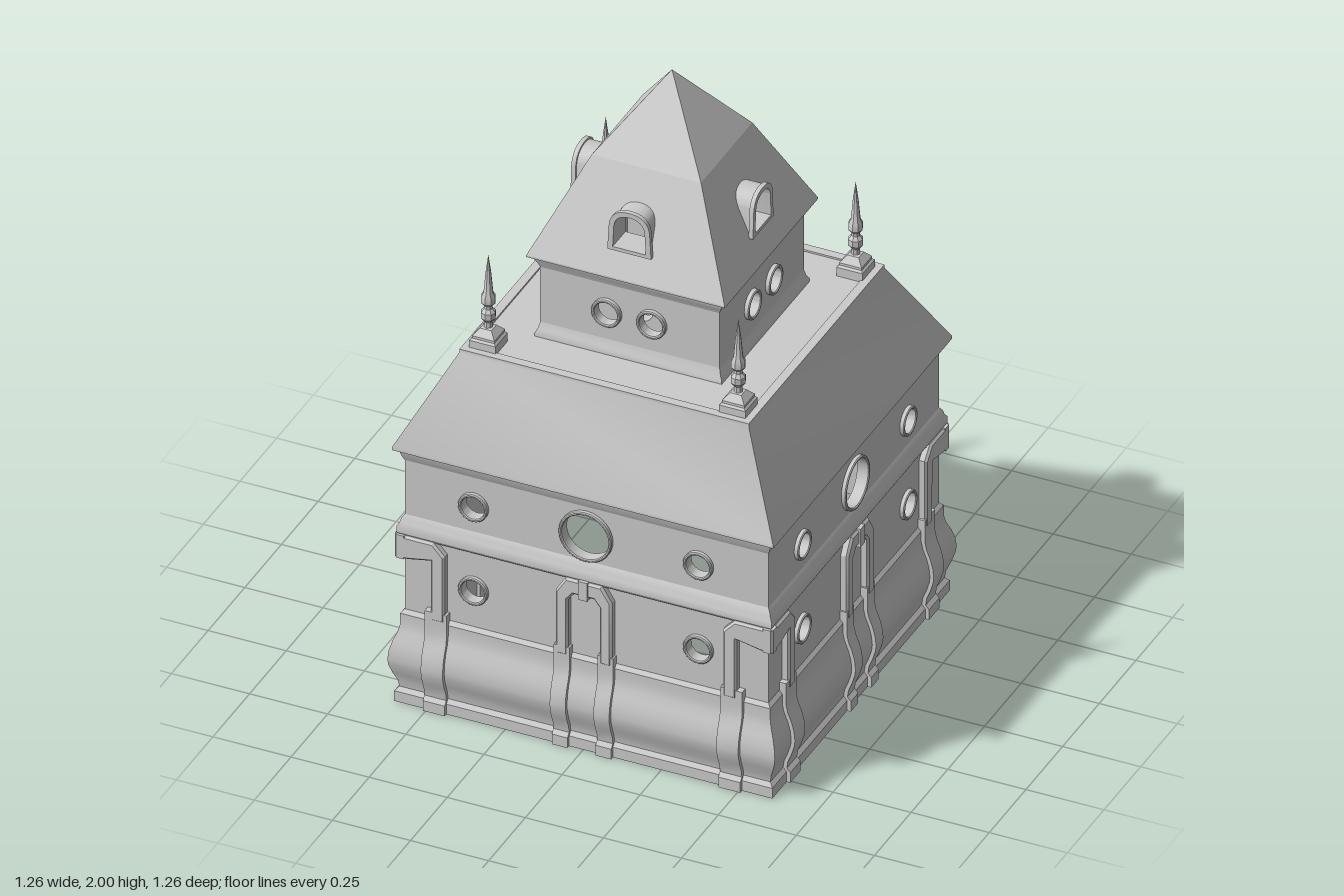
import * as THREE from 'three';
import { toCreasedNormals } from 'three/addons/utils/BufferGeometryUtils.js';

const grey = new THREE.MeshStandardMaterial({ color: 0xcccccc, side: THREE.DoubleSide });
const V = (x, y) => new THREE.Vector2(x, y);

function part(name, geometry, crease = 0.5) {
  const mesh = new THREE.Mesh(toCreasedNormals(geometry, crease), grey);
  mesh.name = name;
  return mesh;
}

// Square ring swept from a [half width, y] profile
function squareLoft(name, profile) {
  const pts = profile.map(([r, y]) => V(r * Math.SQRT2, y));
  return part(name, new THREE.LatheGeometry(pts, 4, Math.PI / 4));
}

const polygon = (pts) => new THREE.Shape(pts.map(([x, y]) => V(x, y)));

function circle(x, y, r, Type = THREE.Path) {
  const c = new Type();
  c.absarc(x, y, r, 0, Math.PI * 2, false);
  return c;
}

// Extrude an xy shape from z0 to z1
function slab(name, shape, z0, z1, bevel = 0) {
  const g = new THREE.ExtrudeGeometry(shape, {
    depth: z1 - z0 - bevel, curveSegments: 14, bevelEnabled: bevel > 0,
    bevelSize: bevel, bevelOffset: -bevel, bevelThickness: bevel, bevelSegments: 1,
  });
  g.translate(0, 0, z0);
  return part(name, g);
}

function ring(name, x, y, r, width, z0, z1) {
  const s = circle(x, y, r + width, THREE.Shape);
  s.holes.push(circle(x, y, r));
  return slab(name, s, z0, z1, 0.003);
}

// Arched outline used by the dormers
function arch(w, y0, y1, Type) {
  const a = new Type();
  a.moveTo(-w, y0);
  a.lineTo(w, y0);
  a.lineTo(w * 0.93, y1 - w * 0.75);
  a.bezierCurveTo(w * 0.85, y1 - w * 0.2, w * 0.5, y1, 0, y1);
  a.bezierCurveTo(-w * 0.5, y1, -w * 0.85, y1 - w * 0.2, -w * 0.93, y1 - w * 0.75);
  a.closePath();
  return a;
}

// Bulging plinth profile
const PLINTH = [[0.605, 0], [0.605, 0.035], [0.594, 0.048], [0.597, 0.07], [0.609, 0.1], [0.618, 0.13],
  [0.62, 0.15], [0.617, 0.18], [0.609, 0.21], [0.597, 0.24], [0.592, 0.265], [0.592, 0.3], [0.58, 0.315]];

function plinthRadius(y) {
  const i = Math.max(1, PLINTH.findIndex((p) => p[1] >= y));
  const [a, b] = [PLINTH[i - 1], PLINTH[i]];
  return THREE.MathUtils.mapLinear(y, a[1], b[1], a[0], b[0]);
}

// Vertical rib that follows the plinth
function rib(x, w) {
  const outer = PLINTH.slice(0, -1).map(([r, y]) => [r + 0.012, y]);
  const g = new THREE.ExtrudeGeometry(polygon([...outer, [0.604, 0.34], [0.57, 0.34], [0.57, 0]]),
    { depth: w, bevelEnabled: false });
  g.rotateY(-Math.PI / 2).translate(x + w / 2, 0, 0);
  return part('plinthRib', g);
}

// Rippled plinth panel between two ribs
function ripple(x0, x1) {
  const g = new THREE.PlaneGeometry(x1 - x0, 0.2, 32, 20);
  g.translate((x0 + x1) / 2, 0.15, 0);
  const p = g.attributes.position;
  for (let i = 0; i < p.count; i++) {
    const t = (p.getX(i) - x0) / (x1 - x0);
    const fade = Math.sin(Math.PI * (p.getY(i) - 0.05) / 0.2);
    p.setZ(i, plinthRadius(p.getY(i)) + 0.0005 + 0.004 * fade * (1 - Math.cos(t * Math.PI * 4)));
  }
  return part('ripplePanel', g, 1);
}

// Everything that repeats on each of the four faces
function face() {
  const f = new THREE.Group();

  // Main wall with round windows
  const wall = polygon([[-0.582, 0.28], [0.582, 0.28], [0.582, 0.875], [-0.582, 0.875]]);
  const wallWindows = [[0, 0.73, 0.075]];
  for (const x of [-0.36, 0.36]) for (const y of [0.44, 0.73]) wallWindows.push([x, y, 0.037]);
  for (const [x, y, r] of wallWindows) {
    wall.holes.push(circle(x, y, r));
    f.add(ring('windowFrame', x, y, r, 0.01, 0.565, 0.596));
  }
  f.add(slab('wall', wall, 0.557, 0.582));

  // Central pier: arch head on two ribs
  f.add(slab('centralPier', polygon([[-0.09, 0.31], [-0.09, 0.53], [-0.058, 0.58], [0.058, 0.58], [0.09, 0.53],
    [0.09, 0.31], [0.05, 0.31], [0.05, 0.505], [0.032, 0.528], [-0.032, 0.528], [-0.05, 0.505], [-0.05, 0.31]]),
  0.575, 0.606, 0.007));
  f.add(slab('keystone', polygon([[-0.015, 0.52], [0.015, 0.52], [0.015, 0.583], [-0.015, 0.583]]), 0.58, 0.61));

  // Half arches that meet at the corners
  for (const s of [-1, 1]) {
    f.add(slab('cornerPier', polygon([[0.445, 0.31], [0.49, 0.31], [0.49, 0.515], [0.565, 0.5], [0.606, 0.5],
      [0.606, 0.58], [0.482, 0.58], [0.445, 0.54]].map(([x, y]) => [s * x, y])), 0.575, 0.606, 0.007));
    f.add(rib(s * 0.07, 0.05), rib(s * 0.473, 0.07));
  }

  // Tower wall with paired round windows
  const tower = polygon([[-0.287, 1.165], [0.287, 1.165], [0.287, 1.45], [-0.287, 1.45]]);
  for (const x of [-0.072, 0.072]) {
    tower.holes.push(circle(x, 1.31, 0.037));
    f.add(ring('towerWindowFrame', x, 1.31, 0.037, 0.01, 0.275, 0.302));
  }
  f.add(slab('towerWall', tower, 0.267, 0.287));

  // Sloping tower roof with a dormer opening
  const slope = polygon([[-0.318, 1.455], [0.318, 1.455], [0.175, 1.76], [-0.175, 1.76]]);
  slope.holes.push(arch(0.053, 1.545, 1.658, THREE.Path));
  const g = new THREE.ShapeGeometry(slope, 10);
  const p = g.attributes.position;
  for (let i = 0; i < p.count; i++) p.setZ(i, THREE.MathUtils.mapLinear(p.getY(i), 1.455, 1.76, 0.318, 0.175));
  f.add(part('towerRoofSlope', g));

  // Dormer hood and its raised rim
  for (const [name, w, top, z0, z1] of [['dormer', 0.063, 1.668, 0.205, 0.285], ['dormerRim', 0.07, 1.674, 0.278, 0.292]]) {
    const hood = arch(w, 1.533, top, THREE.Shape);
    hood.holes.push(arch(0.053, 1.545, 1.658, THREE.Path));
    f.add(slab(name, hood, z0, z1));
  }
  return f;
}

// Spire ornament on a square pedestal
function finial(x, z) {
  const f = new THREE.Group();
  f.name = 'finial';
  f.add(squareLoft('pedestal', [[0.042, 1.165], [0.042, 1.2], [0.036, 1.206], [0.036, 1.214], [0.018, 1.235], [0, 1.24]]));
  const pts = [[0.014, 1.23], [0.013, 1.255], [0.023, 1.268], [0.023, 1.288], [0.013, 1.3], [0.013, 1.31],
    [0.022, 1.32], [0.022, 1.342], [0.015, 1.355], [0.009, 1.42], [0, 1.485]];
  f.add(part('spire', new THREE.LatheGeometry(pts.map(([r, y]) => V(r, y)), 8)));
  f.position.set(x, 0, z);
  return f;
}

export function createModel() {
  const model = new THREE.Group();
  model.name = 'squareTower';

  for (let i = 0; i < 4; i++) {
    const side = face();
    side.name = ['frontFace', 'leftFace', 'backFace', 'rightFace'][i];
    if (i === 2) side.add(ripple(0.095, 0.438), ripple(-0.438, -0.095));
    side.rotation.y = i * Math.PI / 2;
    model.add(side);
  }

  // Hollow plinth and wall mouldings
  model.add(squareLoft('plinth', [[0.565, 0.3], [0.578, 0.2], [0.58, 0], ...PLINTH]));
  model.add(squareLoft('stringCourse', [[0.58, 0.565], [0.594, 0.575], [0.6, 0.585], [0.6, 0.605], [0.593, 0.618], [0.59, 0.63], [0.58, 0.645]]));
  model.add(squareLoft('eavesMoulding', [[0.58, 0.825], [0.587, 0.84], [0.593, 0.86], [0.597, 0.875]]));

  // Main roof and its flat deck
  model.add(squareLoft('mainRoof', [[0.56, 0.872], [0.61, 0.872], [0.61, 0.882], [0.463, 1.165],
    [0.463, 1.176], [0.435, 1.176], [0.435, 1.17], [0.275, 1.17]]));

  // Tower mouldings and roof cap
  model.add(squareLoft('towerBase', [[0.3, 1.165], [0.3, 1.18], [0.292, 1.195], [0.286, 1.22]]));
  model.add(squareLoft('towerCornice', [[0.285, 1.4], [0.292, 1.42], [0.3, 1.435], [0.302, 1.45]]));
  model.add(squareLoft('towerEaves', [[0.27, 1.45], [0.318, 1.45], [0.318, 1.456]]));
  model.add(squareLoft('roofCap', [[0.175, 1.76], [0, 2]]));

  for (const x of [-0.4, 0.4]) for (const z of [-0.4, 0.4]) model.add(finial(x, z));
  return model;
}
